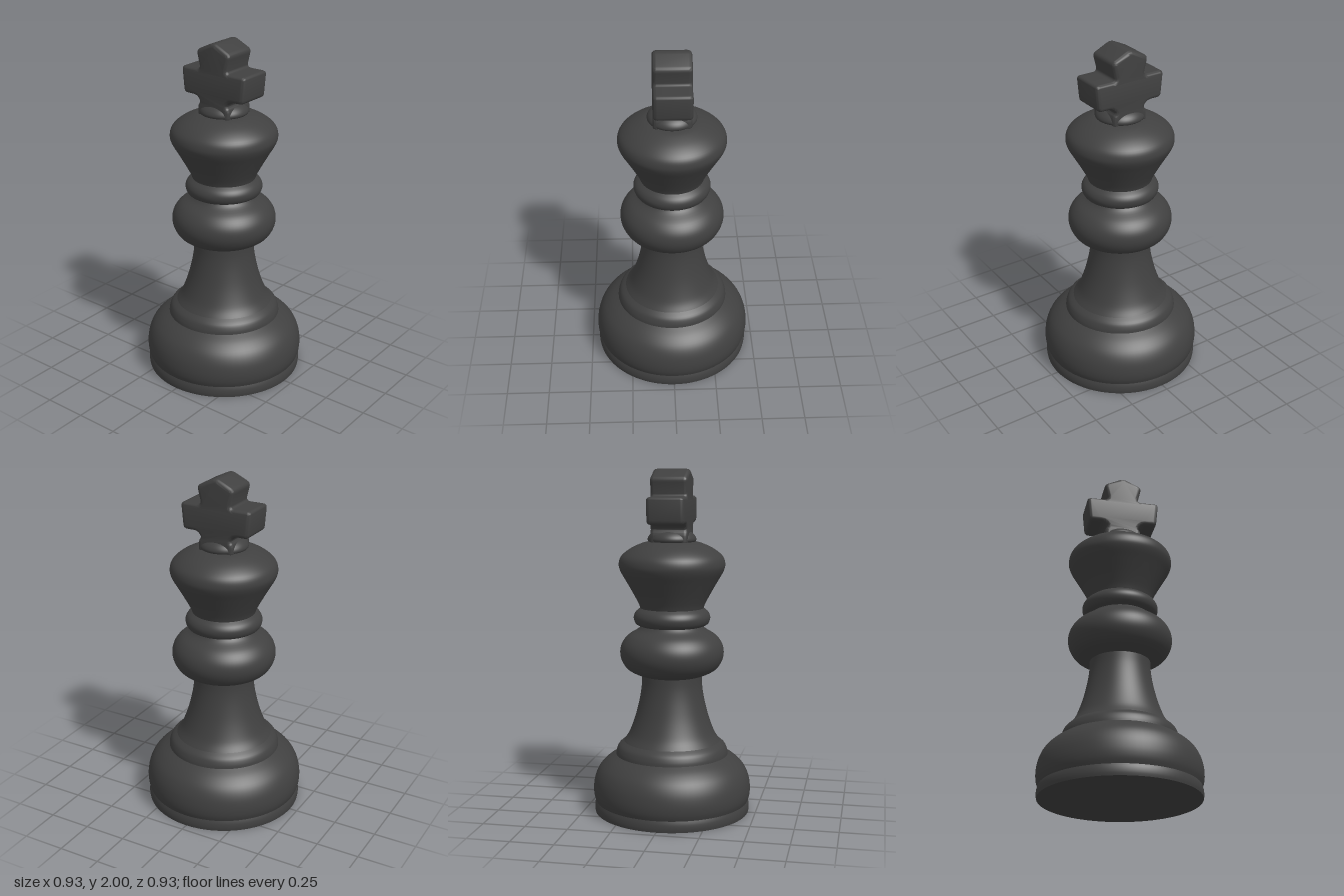
import * as THREE from 'three';
import { toCreasedNormals } from 'three/addons/utils/BufferGeometryUtils.js';

const ebony = new THREE.MeshStandardMaterial({ color: 0x404040 });
ebony.name = 'ebony';

// Turned part: a smooth curve through [radius, height] pairs, revolved about y
function turned(name, profile, steps = 24) {
  const curve = new THREE.SplineCurve(profile.map(([r, y]) => new THREE.Vector2(r, y)));
  const mesh = new THREE.Mesh(new THREE.LatheGeometry(curve.getPoints(steps), 80), ebony);
  mesh.name = name;
  return mesh;
}

// Closed outline with every corner softened
function roundedShape(corners, radius) {
  const pts = corners.map(([x, y]) => new THREE.Vector2(x, y));
  const shape = new THREE.Shape();
  pts.forEach((p, i) => {
    const toward = (q) => {
      const d = q.clone().sub(p);
      return p.clone().addScaledVector(d, Math.min(radius / d.length(), 0.45));
    };
    const a = toward(pts[(i + pts.length - 1) % pts.length]);
    const b = toward(pts[(i + 1) % pts.length]);
    if (i === 0) shape.moveTo(a.x, a.y);
    else shape.lineTo(a.x, a.y);
    shape.quadraticCurveTo(p.x, p.y, b.x, b.y);
  });
  shape.closePath();
  return shape;
}

// Cross: mirrored half outline, extruded with a soft bevel
function cross() {
  const half = [
    [0.11, 1.57], [0.108, 1.64], [0.09, 1.66], [0.118, 1.69], [0.205, 1.69],
    [0.22, 1.845], [0.09, 1.845], [0.116, 1.95],
  ];
  const outline = [...half, [0, 2.005], ...half.map(([x, y]) => [-x, y]).reverse()];
  const bevel = 0.022, depth = 0.216;
  const geo = new THREE.ExtrudeGeometry(roundedShape(outline, 0.025), {
    depth: depth - 2 * bevel, curveSegments: 5,
    bevelEnabled: true, bevelThickness: bevel, bevelSize: bevel, bevelOffset: -bevel, bevelSegments: 5,
  });
  geo.translate(0, 0, bevel - depth / 2);
  const mesh = new THREE.Mesh(toCreasedNormals(geo, 0.7), ebony);
  mesh.name = 'cross';
  return mesh;
}

export function createModel() {
  const model = new THREE.Group();
  model.name = 'chessKing';

  // Flat underside
  const underside = new THREE.Mesh(new THREE.CircleGeometry(0.455, 80), ebony);
  underside.name = 'underside';
  underside.rotation.x = Math.PI / 2;

  model.add(
    underside,
    turned('foot', [[0.455, 0], [0.458, 0.02], [0.456, 0.045], [0.45, 0.065]], 8),
    turned('base', [[0.45, 0.065], [0.461, 0.1], [0.463, 0.15], [0.452, 0.21], [0.425, 0.265], [0.38, 0.31], [0.33, 0.342]]),
    turned('baseStep', [[0.33, 0.342], [0.326, 0.365], [0.312, 0.395], [0.282, 0.42]], 12),
    turned('stem', [[0.282, 0.42], [0.25, 0.47], [0.215, 0.565], [0.19, 0.665], [0.177, 0.75], [0.175, 0.82]]),
    turned('collar', [[0.17, 0.808], [0.21, 0.822], [0.262, 0.852], [0.293, 0.9], [0.302, 0.95], [0.29, 1.0], [0.255, 1.045], [0.2, 1.08], [0.18, 1.1]], 32),
    turned('ring', [[0.18, 1.1], [0.207, 1.112], [0.22, 1.135], [0.221, 1.16], [0.208, 1.185], [0.183, 1.205]], 20),
    turned('crown', [[0.183, 1.205], [0.195, 1.235], [0.225, 1.292], [0.265, 1.362], [0.298, 1.42], [0.307, 1.46], [0.292, 1.505], [0.24, 1.548], [0.17, 1.58], [0.12, 1.59]], 40),
    turned('finialBead', [[0.12, 1.58], [0.137, 1.592], [0.139, 1.608], [0.125, 1.63], [0.09, 1.65], [0, 1.655]], 16),
    cross(),
  );
  return model;
}
